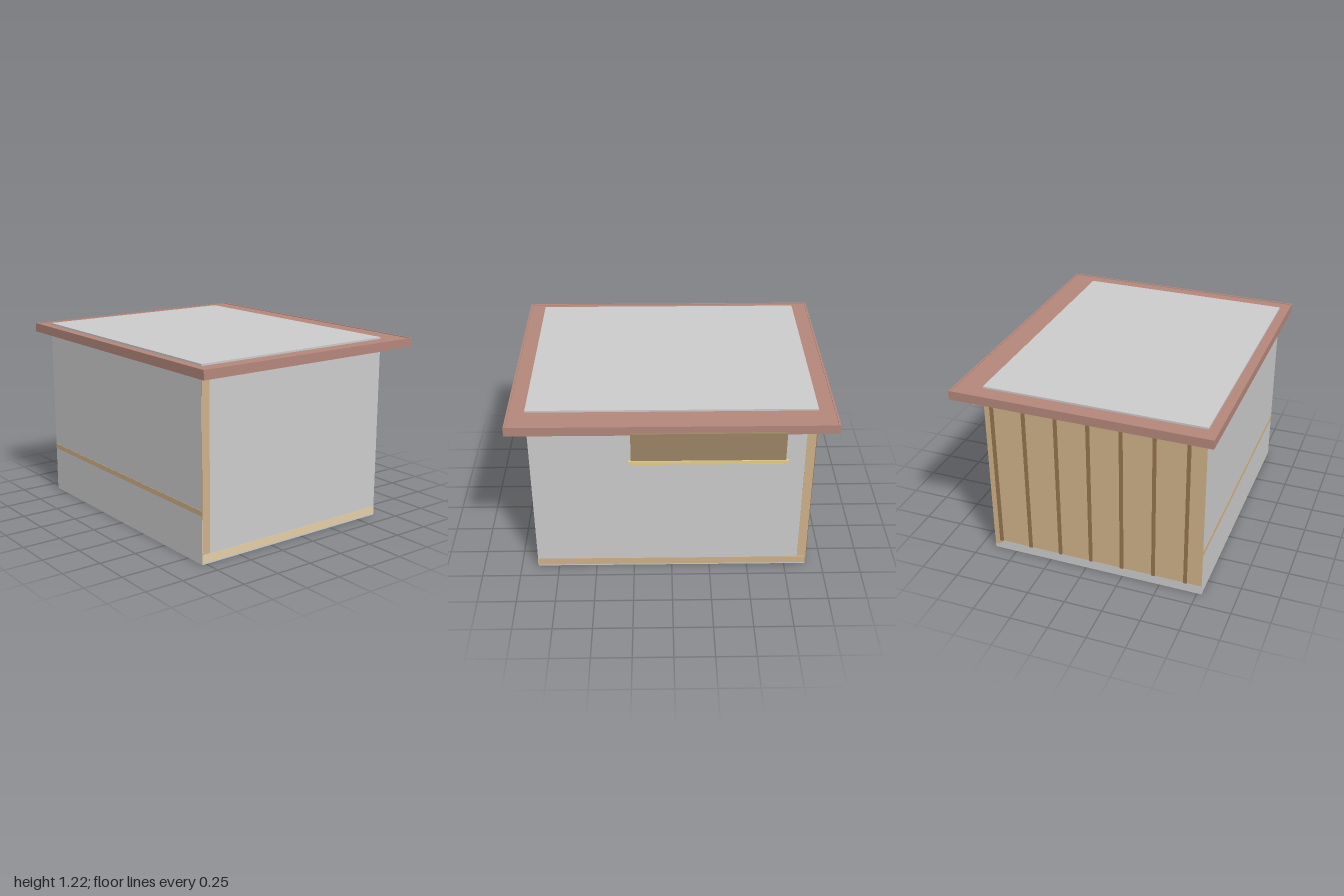
import * as THREE from 'three';

const COLORS = {
  wall: 0xcccccc, roof: 0xb4877b, timber: 0xcfb188, sill: 0xe4cea5,
  board: 0x9c8565, ledge: 0xe6cf85, batten: 0x94744f,
};
const materials = {};
for (const [key, color] of Object.entries(COLORS)) {
  materials[key] = new THREE.MeshStandardMaterial({ color, flatShading: true });
}

// Box given by its extents along each axis
function block(parent, name, material, [x0, x1], [y0, y1], [z0, z1]) {
  const mesh = new THREE.Mesh(
    new THREE.BoxGeometry(x1 - x0, y1 - y0, z1 - z0), materials[material]);
  mesh.position.set((x0 + x1) / 2, (y0 + y1) / 2, (z0 + z1) / 2);
  mesh.name = name;
  parent.add(mesh);
  return mesh;
}

export function createModel() {
  const model = new THREE.Group();
  model.name = 'shed';
  const W = 0.89, BACK = -0.65, FRONT = 0.78, SKIN = 0.002;

  // Main body, its top just proud of the roof border
  block(model, 'body', 'wall', [-W, W], [0, 1.215], [BACK, FRONT]);

  // Flat overhanging roof with fascia boards round its edge
  const roof = new THREE.Group();
  roof.name = 'roof';
  model.add(roof);
  const RB = -0.828, RF = 0.845, T = 0.012, fasciaY = [1.148, 1.207];
  block(roof, 'roofSlab', 'roof', [-1 + T, 1 - T], [1.152, 1.203], [RB + T, RF - T]);
  block(roof, 'frontFascia', 'roof', [-1, 1], fasciaY, [RF - T, RF]);
  block(roof, 'backFascia', 'roof', [-1, 1], fasciaY, [RB, RB + T]);
  for (const s of [-1, 1]) {
    const x = [s * (1 - T), s].sort((a, b) => a - b);
    block(roof, s > 0 ? 'leftFascia' : 'rightFascia', 'roof', x, fasciaY, [RB + T, RF - T]);
  }

  // Corner posts, sills and rail, flush with the walls
  const postY = [0.065, 1.15];
  block(model, 'frontPost', 'timber', [W - 0.055, W + SKIN], postY, [FRONT - 0.055, FRONT - 0.001]);
  block(model, 'backPost', 'timber', [-W - SKIN, -W + 0.055], postY, [BACK - SKIN, BACK + 0.055]);
  block(model, 'sideSill', 'sill', [W - 0.05, W + SKIN], [0.01, 0.06], [BACK, FRONT]);
  block(model, 'backSill', 'timber', [-W, W], [0.01, 0.06], [BACK - SKIN, BACK + 0.05]);
  block(model, 'frontRail', 'timber', [-W, W], [0.305, 0.338], [FRONT - 0.04, FRONT + SKIN]);

  // Clad side wall with a row of vertical battens
  const cladding = new THREE.Group();
  cladding.name = 'cladding';
  model.add(cladding);
  block(cladding, 'sidePanel', 'timber', [-W - SKIN, -W + 0.02], postY, [BACK + 0.055, FRONT - 0.001]);
  for (let i = 0; i < 7; i++) {
    const z = -0.6 + i * 0.212;
    block(cladding, 'batten', 'batten', [-0.903, -W], [0.068, 1.128], [z - 0.011, z + 0.011]);
  }

  // Hanging board below the back eave, with a ledge along its foot
  const hatch = new THREE.Group();
  hatch.name = 'hangingHatch';
  model.add(hatch);
  block(hatch, 'hatchBoard', 'board', [-0.685, 0.25], [0.972, 1.165], [-0.842, -0.815]);
  block(hatch, 'hatchLedge', 'ledge', [-0.698, 0.262], [0.95, 0.974], [-0.848, -0.83]);

  return model;
}
